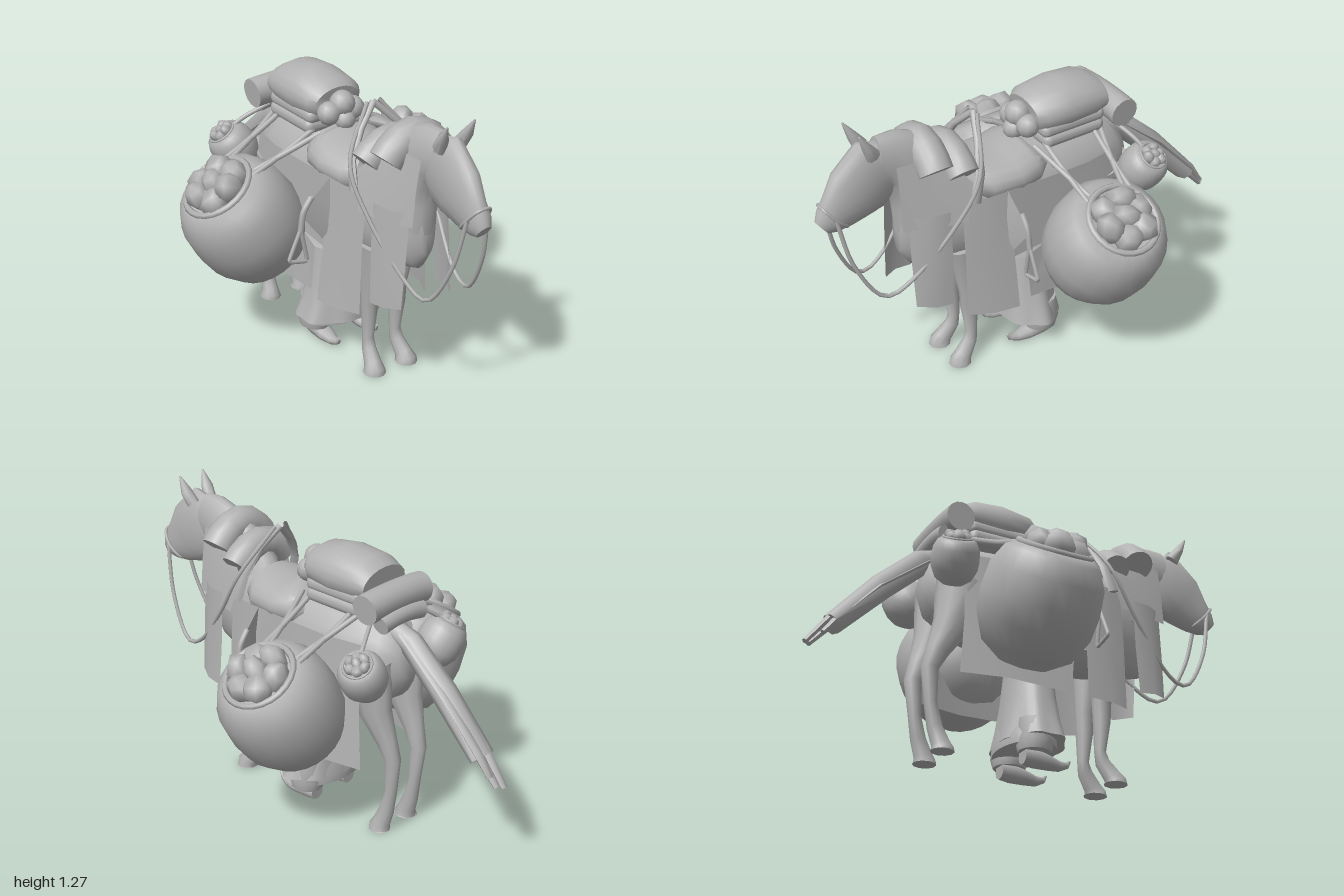
import * as THREE from 'three';
import { toCreasedNormals } from 'three/addons/utils/BufferGeometryUtils.js';
import { RoundedBoxGeometry } from 'three/addons/geometries/RoundedBoxGeometry.js';

const clay = new THREE.MeshStandardMaterial({ color: 0xb2b2b2, side: THREE.DoubleSide });
clay.name = 'clay grey';
const V = (p) => new THREE.Vector3(...p);
const sides = [1, -1];

// Indexed geometry with creased edges
function surface(pos, idx, crease) {
  const g = new THREE.BufferGeometry();
  g.setAttribute('position', new THREE.Float32BufferAttribute(pos, 3));
  g.setIndex(idx);
  return toCreasedNormals(g, crease);
}

// Elliptical rings [x, y, z, radius along ref, radius across], kept above ground
function loft(rows, { ref = [1, 0, 0], n = 16, wave = 0 } = {}) {
  const c = rows.map((r) => V(r)), pos = [], idx = [];
  rows.forEach((r, i) => {
    const t = c[Math.min(i + 1, c.length - 1)].clone().sub(c[Math.max(i - 1, 0)]).normalize();
    const s = V(ref).addScaledVector(t, -t.dot(V(ref))).normalize();
    const u = t.clone().cross(s);
    for (let j = 0; j < n; j++) {
      const a = (j / n) * Math.PI * 2, k = 1 + wave * i * Math.cos(a * 7);
      const p = c[i].clone().addScaledVector(s, Math.cos(a) * r[3] * k).addScaledVector(u, Math.sin(a) * r[4] * k);
      pos.push(p.x, Math.max(0, p.y), p.z);
    }
  });
  const last = rows.length - 1, end = rows.length * n;
  for (const k of [0, last]) pos.push(c[k].x, Math.max(0, c[k].y), c[k].z);
  for (let j = 0; j < n; j++) {
    const q = (j + 1) % n;
    for (let i = 0; i < last; i++) {
      const a = i * n, b = a + n;
      idx.push(a + j, a + q, b + q, a + j, b + q, b + j);
    }
    idx.push(end, q, j, end + 1, last * n + j, last * n + q);
  }
  return surface(pos, idx, 0.95);
}

// Cloth made from rows of points
function sheet(rows) {
  const w = rows[0].length, idx = [];
  for (let i = 0; i < rows.length - 1; i++) for (let j = 0; j < w - 1; j++) {
    const a = i * w + j;
    idx.push(a, a + w, a + 1, a + 1, a + w, a + w + 1);
  }
  return surface(rows.flat(2), idx, 0.6);
}

const tube = (pts, r, closed = false, tension = 0.5) =>
  new THREE.TubeGeometry(new THREE.CatmullRomCurve3(pts.map(V), closed, 'catmullrom', tension), 32, r, 6, closed);
const flip = (rows, s) => rows.map(([x, ...rest]) => [x * s, ...rest]);
const flipSheet = (rows, s) => rows.map((r) => flip(r, s));

// Open sack whose mouth is at the origin, filled with lumpy fruit
function sack(name) {
  const g = new THREE.Group();
  g.name = name;
  const profile = [[0, -0.5], [0.1, -0.485], [0.19, -0.425], [0.24, -0.32], [0.25, -0.22], [0.24, -0.11],
    [0.2, -0.03], [0.15, 0], [0.13, -0.03], [0, -0.03]].map(([x, y]) => new THREE.Vector2(x, y));
  const parts = [['sackBody', new THREE.LatheGeometry(profile, 24)],
    ['sackRim', new THREE.TorusGeometry(0.15, 0.014, 6, 24).rotateX(Math.PI / 2)]];
  for (let i = 0; i < 7; i++) {
    const a = i * Math.PI / 3 + 0.3, d = i < 6 ? 0.085 : 0, k = 1 + 0.15 * Math.sin(i * 4);
    parts.push(['fruit', new THREE.SphereGeometry(0.06, 6, 4).scale(k, 1.05, 1.15 / k).rotateX(i).rotateY(i * 2)
      .translate(Math.cos(a) * d, i < 6 ? 0.005 + 0.014 * (i % 2) : 0.025, Math.sin(a) * d)]);
  }
  for (const [n, geo] of parts) {
    const m = new THREE.Mesh(geo, clay);
    m.name = n;
    g.add(m);
  }
  return g;
}

export function createModel() {
  const model = new THREE.Group();
  model.name = 'packHorse';
  const add = (name, geo) => {
    const m = new THREE.Mesh(geo, clay);
    m.name = name;
    model.add(m);
  };

  // Horse body, neck and head
  add('body', loft([[0, 0.73, 0.635, 0.035, 0.1], [0, 0.73, 0.59, 0.07, 0.18], [0, 0.74, 0.42, 0.13, 0.235],
    [0, 0.73, 0.2, 0.175, 0.24], [0, 0.73, -0.1, 0.185, 0.24], [0, 0.75, -0.3, 0.165, 0.21],
    [0, 0.77, -0.41, 0.125, 0.16], [0, 0.78, -0.47, 0.06, 0.08]], { n: 20 }));
  add('neck', loft([[0, 0.78, 0.44, 0.11, 0.21], [0, 0.92, 0.48, 0.1, 0.19], [0, 1.05, 0.57, 0.08, 0.14],
    [0, 1.085, 0.66, 0.065, 0.12], [0, 1.09, 0.72, 0.055, 0.11]]));
  add('head', loft([[0, 1.04, 0.66, 0.05, 0.13], [0, 1.045, 0.74, 0.068, 0.165], [0, 0.985, 0.82, 0.065, 0.143],
    [0, 0.925, 0.895, 0.048, 0.1], [0, 0.895, 0.945, 0.045, 0.068], [0, 0.875, 0.97, 0.03, 0.04]]));
  add('noseband', tube([[0.052, 0.91, 0.92], [0.03, 0.965, 0.965], [-0.03, 0.965, 0.965], [-0.052, 0.91, 0.92],
    [-0.03, 0.86, 0.87], [0.03, 0.86, 0.87]], 0.007, true));

  for (const s of sides) {
    add('ear', loft(flip([[0.05, 1.15, 0.75, 0.024, 0.032], [0.06, 1.2, 0.78, 0.028, 0.022],
      [0.066, 1.265, 0.815, 0.004, 0.004]], s), { n: 8 }));
    add('frontLeg', loft(flip([[0.08, 0.6, 0.37, 0.055, 0.08], [0.072, 0.36, 0.345, 0.036, 0.044],
      [0.072, 0.28, 0.345, 0.034, 0.04], [0.07, 0.14, 0.335, 0.024, 0.026], [0.072, 0.09, 0.345, 0.028, 0.034],
      [0.08, 0.035, 0.385, 0.036, 0.04], [0.083, 0.01, 0.4, 0.045, 0.05], [0.083, 0, 0.4, 0.048, 0.052]], s), { n: 10 }));
    add('hindLeg', loft(flip([[0.1, 0.75, -0.32, 0.075, 0.14], [0.095, 0.55, -0.38, 0.06, 0.08],
      [0.085, 0.43, -0.435, 0.04, 0.05], [0.08, 0.35, -0.465, 0.033, 0.038], [0.075, 0.2, -0.455, 0.025, 0.028],
      [0.077, 0.1, -0.435, 0.028, 0.034], [0.08, 0.035, -0.41, 0.035, 0.04], [0.083, 0.01, -0.402, 0.043, 0.048],
      [0.083, 0, -0.402, 0.046, 0.05]], s), { n: 10 }));

    // Reins
    add('rein', tube(flip([[0.05, 0.92, 0.93], [0.075, 0.7, 0.88], [0.1, 0.52, 0.77], [0.12, 0.56, 0.64],
      [0.165, 0.77, 0.46], [0.17, 0.97, 0.34], [0.03, 1.17, 0.26]], s), 0.009));

    // Draped cloths on neck, chest and flanks
    add('neckCloth', sheet(flipSheet([
      [[0.065, 1.07, 0.66], [0.085, 1.08, 0.56], [0.1, 1.04, 0.44]],
      [[0.085, 0.95, 0.66], [0.12, 0.95, 0.52], [0.15, 0.94, 0.36]],
      [[0.1, 0.79, 0.66], [0.145, 0.78, 0.52], [0.17, 0.78, 0.4]]], s)));
    add('chestCloth', sheet(flipSheet([
      [[0.095, 0.84, 0.635], [0.14, 0.84, 0.56], [0.15, 0.84, 0.47]],
      [[0.11, 0.62, 0.635], [0.155, 0.62, 0.56], [0.16, 0.62, 0.47]],
      [[0.125, 0.42, 0.63], [0.165, 0.41, 0.56], [0.17, 0.4, 0.48]]], s)));
    add('shoulderCloth', sheet(flipSheet([
      [[0.14, 0.86, 0.41], [0.175, 0.86, 0.31], [0.18, 0.86, 0.2]],
      [[0.16, 0.6, 0.41], [0.19, 0.6, 0.31], [0.2, 0.6, 0.2]],
      [[0.17, 0.31, 0.41], [0.215, 0.305, 0.31], [0.23, 0.3, 0.19]]], s)));
    add('flankCloth', sheet(flipSheet([
      [[0.178, 0.86, 0.23], [0.185, 0.86, 0.02], [0.185, 0.86, -0.18], [0.155, 0.86, -0.35]],
      [[0.19, 0.53, 0.22], [0.19, 0.55, 0.02], [0.2, 0.55, -0.18], [0.175, 0.55, -0.36]],
      [[0.205, 0.52, 0.14], [0.21, 0.31, 0.12], [0.225, 0.31, -0.18], [0.185, 0.31, -0.38]]], s)));

    // Stirrup hanging on a leather flap
    add('stirrupFlap', sheet(flipSheet([[[0.17, 0.87, 0.215], [0.14, 0.7, 0.24]],
      [[0.25, 0.79, 0.205], [0.18, 0.64, 0.225]], [[0.315, 0.72, 0.2], [0.215, 0.59, 0.21]]], s)));
    add('stirrupStrap', tube(flip([[0.26, 0.79, 0.2], [0.3, 0.73, 0.2], [0.315, 0.65, 0.2]], s), 0.013));
    add('stirrup', tube(flip([[0.315, 0.655, 0.2], [0.285, 0.505, 0.2], [0.375, 0.525, 0.2]], s), 0.009, true, 0.05));

    // Large and small sacks with their straps
    const big = sack('largeSack');
    big.position.set(0.508 * s, 0.775, -0.125);
    big.rotation.z = -0.6 * s;
    const small = sack('smallSack');
    small.scale.setScalar(0.4);
    small.position.set(0.285 * s, 0.85, -0.45);
    small.rotation.set(-0.2, 0, -0.6 * s);
    model.add(big, small);
    for (const [z0, z1] of [[0.03, -0.06], [-0.02, -0.03], [-0.3, -0.21], [-0.26, -0.24]])
      add('sackStrap', tube(flip([[0.1, 0.97, z0], [0.24, 0.9, (z0 + z1) / 2], [0.4, 0.83, z1]], s), 0.012));
    add('smallSackStrap', tube(flip([[0.1, 0.97, -0.36], [0.2, 0.91, -0.41], [0.27, 0.85, -0.44]], s), 0.01));

    // Trouser cuff and curled shoe
    add('trouserCuff', loft(flip([[0.11, 0.2, 0, 0.06, 0.07], [0.11, 0.1, 0, 0.075, 0.08],
      [0.11, 0.06, 0, 0.065, 0.07]], s), { n: 12 }));
    add('shoe', loft(flip([[0.1, 0.04, -0.05, 0.035, 0.035], [0.1, 0.04, 0, 0.042, 0.042], [0.1, 0.03, 0.07, 0.04, 0.03],
      [0.1, 0.025, 0.12, 0.025, 0.022], [0.1, 0.035, 0.155, 0.014, 0.014], [0.1, 0.055, 0.17, 0.005, 0.005]], s), { n: 10 }));
  }

  // Long robe below the body
  add('robe', loft([[0, 0.52, 0.03, 0.12, 0.09], [0, 0.31, 0.03, 0.15, 0.11], [0, 0.2, 0.03, 0.175, 0.125],
    [0, 0.12, 0.03, 0.205, 0.138]], { n: 42, wave: 0.015 }));
  add('robeLining', loft([[0, 0.2, 0.01, 0.15, 0.1], [0, 0.13, 0.01, 0.18, 0.12], [0, 0.09, 0.01, 0.175, 0.12]], { n: 28 }));

  // Saddle and pommel arch
  add('saddle', loft([[0, 0.9, 0.33, 0.13, 0.09], [0, 0.88, 0.27, 0.175, 0.1], [0, 0.88, 0.14, 0.19, 0.095],
    [0, 0.895, 0.05, 0.18, 0.11], [0, 0.92, 0.01, 0.15, 0.09]], { n: 20 }));
  for (const s of sides)
    add('pommelArch', loft(flip([[0.165, 0.85, 0.36, 0.012, 0.028], [0.15, 0.97, 0.325, 0.013, 0.022],
      [0.085, 1.08, 0.295, 0.015, 0.016], [0, 1.165, 0.26, 0.015, 0.014]], s), { n: 8 }));

  // Bedrolls over the neck and behind the pack
  const roll = (name, y, z, r, w, drop) => add(name, loft([-1, -0.75, -0.4, 0, 0.4, 0.75, 1]
    .map((t) => [t * w, y - drop * t * t, z, r, r]), { ref: [0, 0, 1] }));
  roll('neckRollFront', 1.115, 0.515, 0.072, 0.125, 0.085);
  roll('neckRollBack', 1.055, 0.395, 0.066, 0.135, 0.075);
  roll('rearRoll', 1.035, -0.38, 0.064, 0.17, 0.01);
  roll('lowerRearRoll', 0.97, -0.42, 0.04, 0.12, 0.015);

  // Folded pack with a domed cover and a small bundle ahead of it
  [0.98, 1.025, 1.07].forEach((y, i) => add('foldedBlanket',
    new RoundedBoxGeometry(0.27 - 0.01 * i, 0.065, 0.3 + 0.01 * i, 3, 0.03).translate(0, y, -0.16)));
  add('packCover', loft([[0, 1.08, 0.01, 0.11, 0.07], [0, 1.085, -0.02, 0.135, 0.09], [0, 1.085, -0.14, 0.143, 0.112],
    [0, 1.085, -0.27, 0.14, 0.1], [0, 1.08, -0.33, 0.125, 0.07]], { n: 20 }));
  for (const [x, y, z, r] of [[0, 1.085, 0.045, 0.055], [0.06, 1.05, 0.035, 0.05], [-0.06, 1.05, 0.035, 0.05], [0, 1.02, 0.065, 0.045]])
    add('frontBundle', new THREE.SphereGeometry(r, 10, 8).translate(x, y, z));

  // Tail bundle with ragged flat strips
  add('tail', loft([[0, 0.93, -0.3, 0.04, 0.035], [0, 0.86, -0.48, 0.048, 0.055], [0, 0.7, -0.66, 0.056, 0.055],
    [0, 0.485, -0.865, 0.06, 0.045]], { n: 8 }));
  for (let i = 0; i < 4; i++) {
    const x = (i - 1.5) * 0.024, e = ((i * 3) % 4) * 0.022, u = (i % 2) * 0.04;
    add('tailStrip', loft([[x * 0.7, 0.86 + u, -0.45, 0.02, 0.012], [x, 0.68 + u, -0.68, 0.024, 0.014],
      [x, 0.48 + u, -0.87, 0.022, 0.016], [x * 0.8, 0.43 - e + u / 2, -0.91 - e, 0.016, 0.012]], { n: 6 }));
  }
  return model;
}
